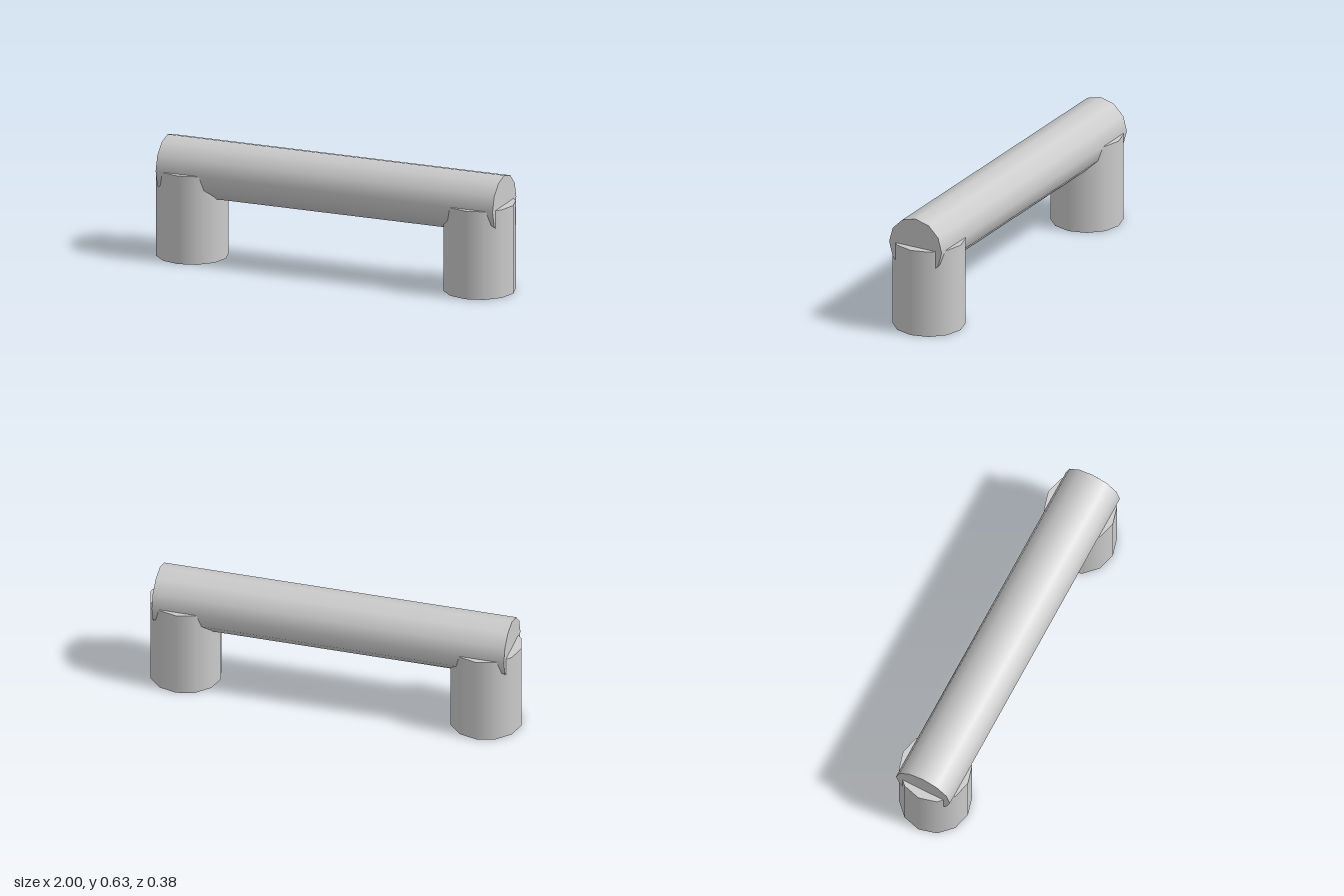
import * as THREE from 'three';

export function createModel() {
  const group = new THREE.Group();
  const material = new THREE.MeshStandardMaterial({ color: 0xcccccc });
  const sides = 12;
  const postHeight = 0.477;

  // Horizontal grip, its axis level with the tops of the posts
  const bar = new THREE.Mesh(new THREE.CylinderGeometry(0.158, 0.158, 1.9, sides), material);
  bar.name = 'gripBar';
  bar.rotation.z = Math.PI / 2;
  bar.position.y = postHeight;
  group.add(bar);

  // Upright posts at both ends
  const postGeometry = new THREE.CylinderGeometry(0.19, 0.19, postHeight, sides);
  for (const side of [1, -1]) {
    const post = new THREE.Mesh(postGeometry, material);
    post.name = side > 0 ? 'leftPost' : 'rightPost';
    post.position.set(side * 0.81, postHeight / 2, 0);
    group.add(post);
  }
  return group;
}
